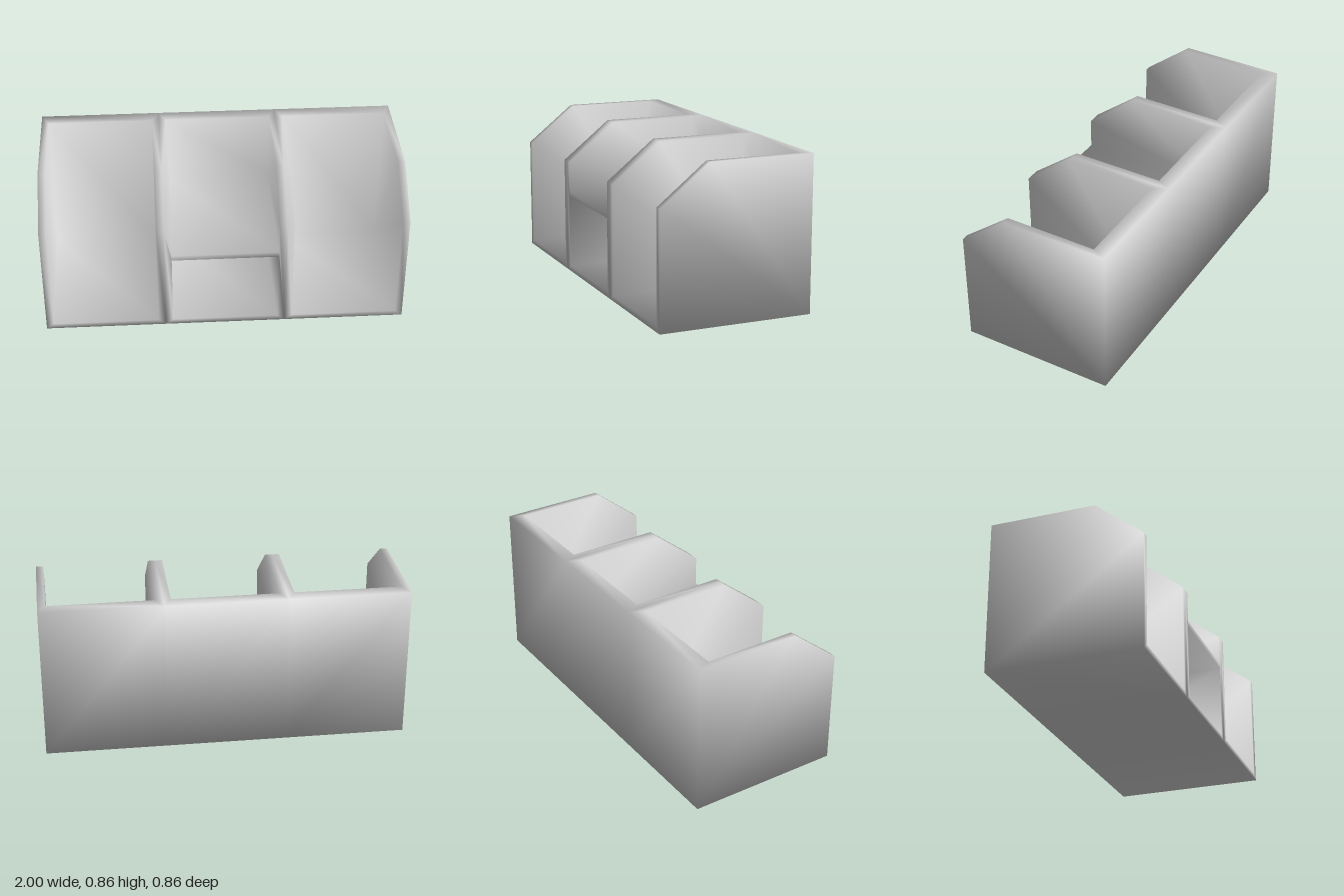
import * as THREE from 'three';

const H = 0.86, D = 0.43;            // height and half depth
const SHOULDER = 0.645, CREST = 0.16; // ends of the sloping panel edge
const BACK = -0.35, FLOOR = 0.03;    // inner faces of back wall and floor
const SHELF_LOW = 0.445, SHELF_TOP = 0.475;
const W = 1 / 3, IN = W - 0.04;      // outer and inner half width of one bay

export function createModel() {
  const parts = {};          // triangles of each part
  const pointNormals = {};   // smooth normals shared by all parts
  const key = (p) => p.toArray().map((v) => Math.round(v * 1e4)).join();

  // Convex face seen from the given direction, split as a fan from its first corner;
  // every corner adds to the shared normal in proportion to its angle
  const face = (part, direction, corners) => {
    const pts = corners.map((c) => new THREE.Vector3(...c));
    const normal = new THREE.Triangle(pts[0], pts[1], pts[2]).getNormal(new THREE.Vector3());
    if (normal.dot(new THREE.Vector3(...direction)) < 0) {
      normal.negate();
      pts.push(...pts.splice(1).reverse());
    }
    for (let i = 1; i < pts.length - 1; i++) {
      const tri = [pts[0], pts[i], pts[i + 1]];
      tri.forEach((p, j) => {
        const a = tri[(j + 1) % 3].clone().sub(p), b = tri[(j + 2) % 3].clone().sub(p);
        const sum = (pointNormals[key(p)] ??= new THREE.Vector3());
        sum.addScaledVector(normal, a.angleTo(b));
      });
      (parts[part] ??= []).push(...tri);
    }
  };

  // Upright panel face at x, reaching from height y0 and depth z0 to the sloping edge
  const panel = (part, facing, x, y0, z0) => face(part, [facing, 0, 0],
    [[x, y0, z0], [x, y0, D], [x, SHOULDER, D], [x, H, CREST], [x, H, z0]]);

  // Rectangles facing up/down and front/back
  const level = (part, facing, x0, x1, y, z0) => face(part, [0, facing, 0],
    [[x0, y, z0], [x1, y, z0], [x1, y, D], [x0, y, D]]);
  const upright = (part, facing, x0, x1, y0, y1, z) => face(part, [0, 0, facing],
    [[x0, y1, z], [x1, y1, z], [x1, y0, z], [x0, y0, z]]);

  ['right', 'middle', 'left'].forEach((name, i) => {
    const cx = (i - 1) * 2 * W;
    const x0 = cx - W, x1 = cx + W, a = cx - IN, b = cx + IN;
    const hasShelf = name === 'middle';
    const lining = name + 'Bay';
    const base = hasShelf ? SHELF_TOP : FLOOR;

    // Outside of the back wall and underside
    upright('backWall', -1, x0, x1, 0, H, -D);
    level('underside', -1, x0, x1, 0, -D);

    // Bay open to the front and top
    level(hasShelf ? 'middleShelf' : lining, 1, a, b, base, BACK);
    upright(lining, 1, a, b, base, H, BACK);

    // Front edge of the floor and top edge of the back wall
    face('frontRim', [0, 0, 1], [[x0, 0, D], [x1, 0, D], [b, FLOOR, D], [a, FLOOR, D]]);
    face('topRim', [0, 1, 0], [[x0, H, -D], [x1, H, -D], [b, H, BACK], [a, H, BACK]]);

    // Compartment under the shelf
    if (hasShelf) {
      level('lowerCompartment', 1, a, b, FLOOR, BACK);
      level('middleShelf', -1, a, b, SHELF_LOW, BACK);
      upright('lowerCompartment', 1, a, b, FLOOR, SHELF_LOW, BACK);
      upright('middleShelf', 1, a, b, SHELF_LOW, SHELF_TOP, D);
    }

    for (const s of [-1, 1]) {
      const xo = cx + s * W, xi = cx + s * IN;
      panel(lining, -s, xi, base, BACK);
      if (hasShelf) {
        face('lowerCompartment', [-s, 0, 0], [[xi, FLOOR, BACK], [xi, FLOOR, D],
          [xi, SHELF_LOW, D], [xi, SHELF_LOW, BACK]]);
      }
      // Front, sloping and top edges of the panel
      const steps = hasShelf ? [FLOOR, SHELF_LOW, SHELF_TOP, SHOULDER] : [FLOOR, SHOULDER];
      const inner = steps.map((y) => [xi, y, D]);
      const low = [xo, 0, D], high = [xo, SHOULDER, D];
      face('frontRim', [0, 0, 1], s > 0 ? [low, ...inner, high] : [high, low, ...inner]);
      face('slopingEdges', [0, 1, 1], [high, [xi, SHOULDER, D], [xi, H, CREST], [xo, H, CREST]]);
      face('topRim', [0, 1, 0], [[xo, H, CREST], [xi, H, CREST], [xi, H, BACK], [xo, H, -D]]);
    }
  });

  // Outer faces of the end panels
  panel('rightSidePanel', -1, -1, 0, -D);
  panel('leftSidePanel', 1, 1, 0, -D);

  // One mesh per part, all shaded with the shared normals
  const group = new THREE.Group();
  const material = new THREE.MeshStandardMaterial({ color: 0xcccccc, side: THREE.DoubleSide });
  for (const [name, points] of Object.entries(parts)) {
    const normals = points.flatMap((p) => pointNormals[key(p)].clone().normalize().toArray());
    const geometry = new THREE.BufferGeometry().setFromPoints(points);
    geometry.setAttribute('normal', new THREE.Float32BufferAttribute(normals, 3));
    const mesh = new THREE.Mesh(geometry, material);
    mesh.name = name;
    group.add(mesh);
  }
  return group;
}
